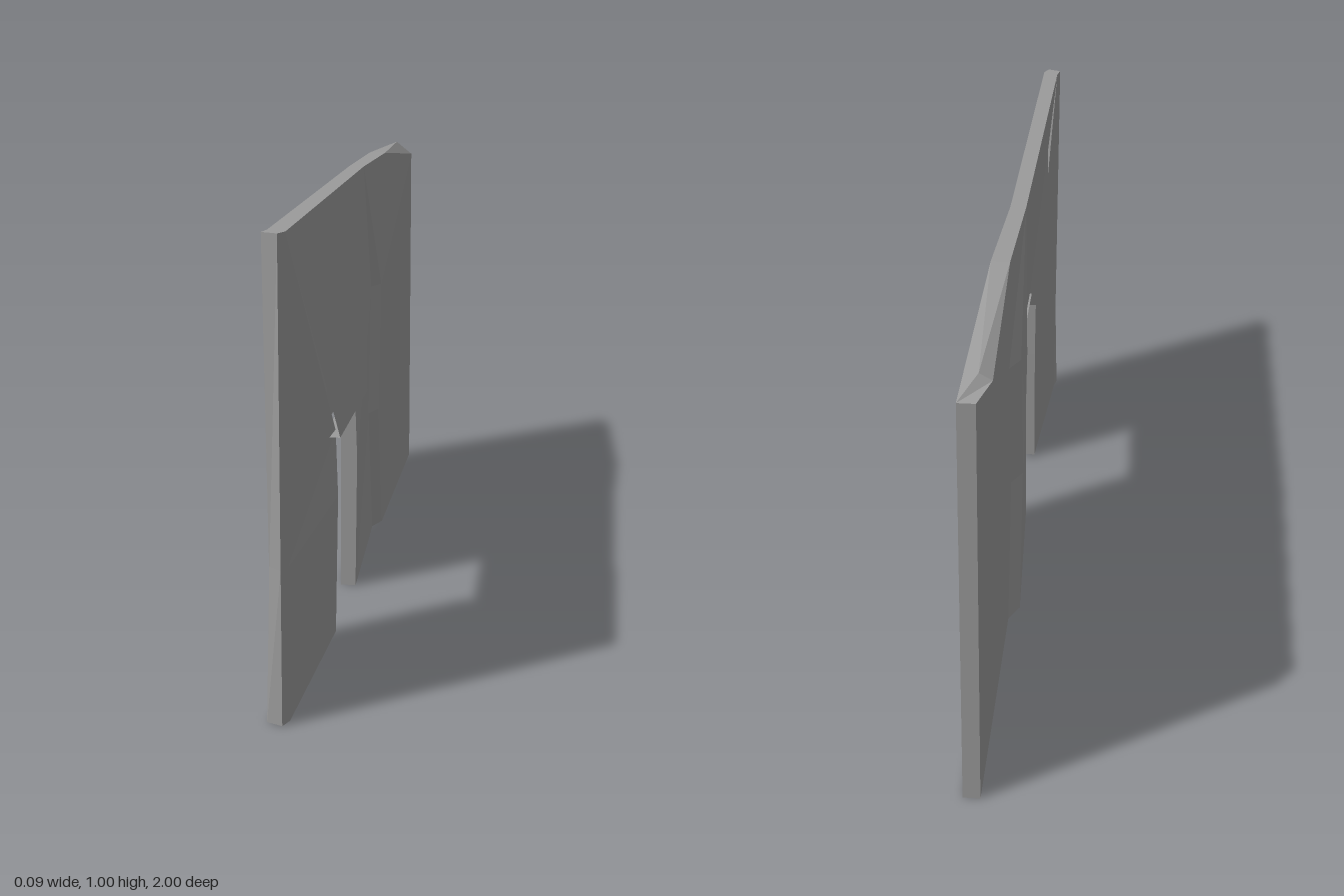
import * as THREE from 'three';

// Corner: z, y, x of the outer face, x of the inner face, and (if skewed) z, y of the inner face
const corner = (z, y, xOut, xIn, zIn = z, yIn = y) => ({
  out: [xOut, y, z],
  in: [xIn, yIn, zIn],
});

function meshOf(name, triangles, material) {
  const geometry = new THREE.BufferGeometry();
  geometry.setAttribute('position', new THREE.Float32BufferAttribute(triangles.flat(2), 3));
  geometry.computeVertexNormals();
  const mesh = new THREE.Mesh(geometry, material);
  mesh.name = name;
  return mesh;
}

// Outer and inner skin inside an outline, counter-clockwise as seen from +x
function panel(name, outline, material) {
  const flat = outline.map((c) => new THREE.Vector2(-c.out[2], c.out[1]));
  const triangles = [];
  for (const [a, b, c] of THREE.ShapeUtils.triangulateShape(flat, [])) {
    const area = THREE.ShapeUtils.area([flat[a], flat[b], flat[c]]);
    const [p, q, r] = (area > 0 ? [a, b, c] : [a, c, b]).map((i) => outline[i]);
    triangles.push([p.out, q.out, r.out], [p.in, r.in, q.in]);
  }
  return meshOf(name, triangles, material);
}

// Strip closing the gap between the two skins along a chain of corners
function rim(name, chain, material) {
  const triangles = chain.slice(1).flatMap((q, i) => {
    const p = chain[i];
    return [[p.out, p.in, q.in], [p.out, q.in, q.out]];
  });
  return meshOf(name, triangles, material);
}

export function createModel() {
  const group = new THREE.Group();
  group.name = 'wallWithDoorway';
  const material = new THREE.MeshStandardMaterial({
    color: 0x9b9b9b, flatShading: true, side: THREE.DoubleSide,
  });

  // Far end, with its worn top corner
  const farFoot = corner(-1, 0, 0.022, -0.016);
  const farHead = corner(-1, 0.94, 0.022, -0.016);
  const farPeak = corner(-0.95, 0.98, -0.016, -0.043, -0.95, 0.965);
  const farTop = corner(-0.45, 1, 0.012, -0.03);
  // Both sides of the crooked step, meeting at the top
  const top = corner(-0.12, 1, 0, -0.037);
  const stepFar = [[-0.33, 0], [-0.25, 0.34], [-0.3, 0.67]].map(([z, y]) => corner(z, y, 0.022, -0.013));
  const stepNear = [[-0.28, 0], [-0.2, 0.34], [-0.25, 0.67]].map(([z, y]) => corner(z, y, 0.002, -0.037));
  // Door jambs, from the floor up
  const jambA = [corner(0.18, 0, 0.022, -0.014), corner(0.18, 0.33, 0.026, -0.013), corner(0.18, 0.48, 0.021, -0.016)];
  const jambB = [corner(0.495, 0.005, 0.022, -0.012), corner(0.49, 0.33, 0.027, -0.012), corner(0.49, 0.48, 0.022, -0.014)];
  // Near end and its pointed edge
  const heights = [0, 0.33, 1];
  const end = heights.map((y) => corner(0.972, y, 0.002, -0.037, 0.955));
  const tip = heights.map((y) => (y === 0.33
    ? corner(1, y, -0.009, -0.036, 0.978)
    : corner(1, y, -0.009, -0.043, 0.985)));
  // Lower edge of the leaning lintel, whose inner skin stops above the soffit
  const lintelA = corner(0.11, 0.48, 0.041, 0.003, 0.11, 0.5);
  const lintelB = corner(0.56, 0.483, 0.043, 0.005, 0.56, 0.503);
  const soffit = [corner(0.56, 0.483, 0.043, 0.003), corner(0.11, 0.48, 0.041, 0.001)];

  const panels = {
    farWall: [stepFar[0], farFoot, farHead, stepFar[2], stepFar[1]],
    farWallUpper: [stepFar[2], farHead, farTop],
    farWallTop: [stepFar[2], farTop, top],
    wornCorner: [farHead, farPeak, farTop],
    wallStep: [stepNear[0], ...stepFar, top, stepNear[2], stepNear[1]],
    doorSideLower: [jambA[0], stepNear[0], stepNear[1], jambA[1]],
    doorSideUpper: [jambA[1], stepNear[1], stepNear[2], top, jambA[2]],
    nearWallLower: [end[0], jambB[0], jambB[1], end[1]],
    nearWallUpper: [end[1], jambB[1], jambB[2], end[2]],
    endEdge: [tip[0], ...end, tip[2], tip[1]],
    lintel: [lintelB, lintelA, top, end[2]],
  };
  // The underside along the floor stays open
  const rims = {
    outerRim: [farFoot, farHead, farPeak, farTop, top, end[2], tip[2], tip[1], tip[0]],
    farJamb: [...jambA].reverse(),
    nearJamb: jambB,
    lintelSoffit: soffit,
  };
  for (const [name, outline] of Object.entries(panels)) group.add(panel(name, outline, material));
  for (const [name, chain] of Object.entries(rims)) group.add(rim(name, chain, material));
  return group;
}
